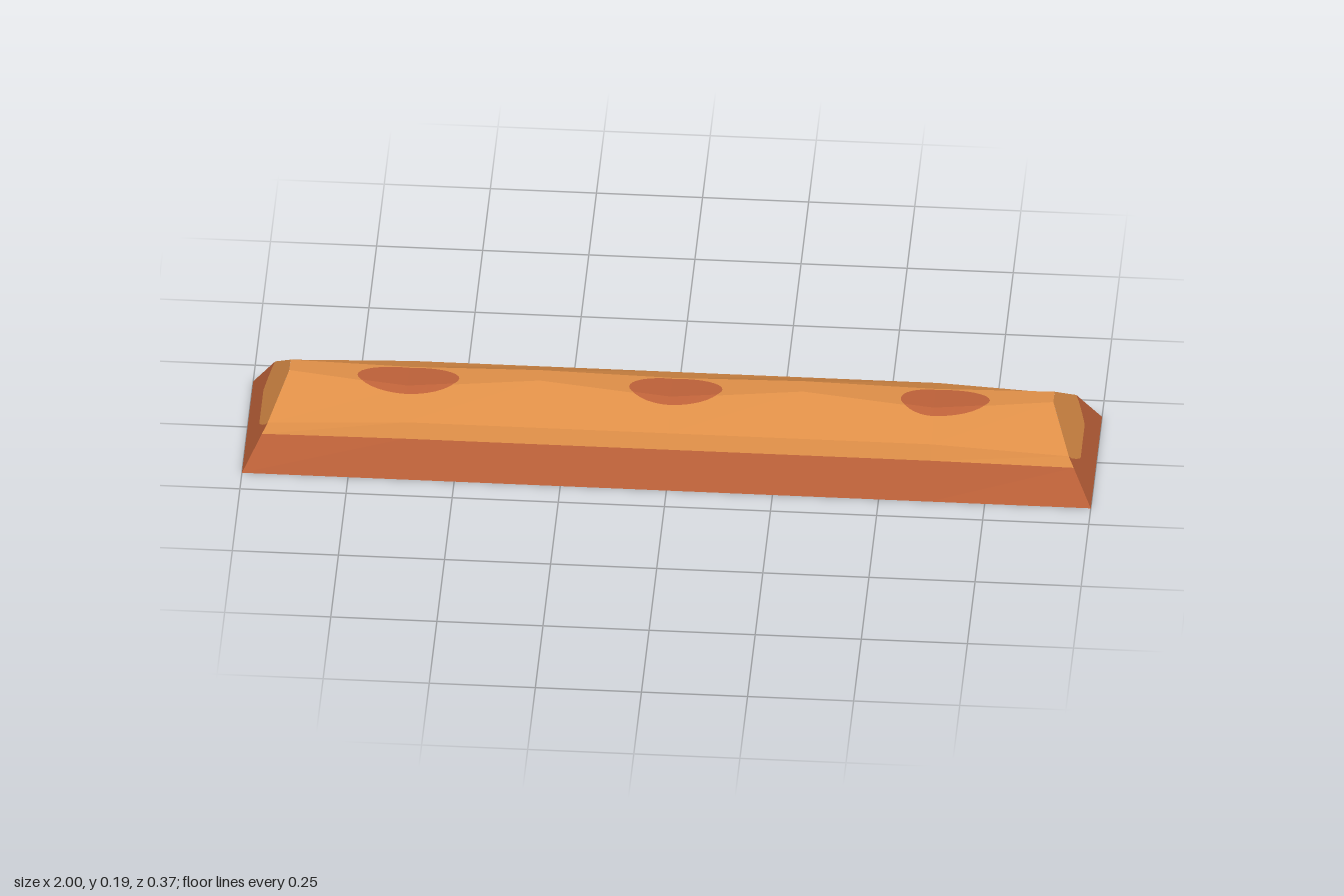
import * as THREE from 'three';

const orange = new THREE.MeshStandardMaterial({ color: 0xdd8e47 });
const rust = new THREE.MeshStandardMaterial({ color: 0xbb6038 });

// Stations along the beam: ridge peaks alternate with worn dips
const stationX = [-0.9, -0.62, -0.31, 0, 0.31, 0.62, 0.9];
const last = stationX.length - 1;
const ridgeY = (i) => (i % 2 ? 0.165 : 0.185);
const ridgeZ = (i) => (i % 2 ? 0.04 : 0.021);
const endX = (y) => 1 - 0.54 * y;

// Flat-shaded mesh from loose triangles
function facets(name, material, points) {
  const geometry = new THREE.BufferGeometry();
  geometry.setAttribute('position', new THREE.Float32BufferAttribute(points.flat(), 3));
  geometry.computeVertexNormals();
  const mesh = new THREE.Mesh(geometry, material);
  mesh.name = name;
  return mesh;
}
const quad = (a, b, c, d) => [a, b, c, a, c, d];

// Four points up the front flank at one station: base, paint line, shoulder, ridge
function flank(i) {
  const end = i === 0 || i === last;
  const sign = Math.sign(stationX[i]);
  const shoulderY = end ? 0.104 : 0.122;
  const paint = (end ? 0.081 : 0.087) / shoulderY;
  const base = [end ? sign : stationX[i], 0, 0.185];
  const shoulder = [end ? sign * endX(shoulderY) : stationX[i], shoulderY, 0.124];
  const line = base.map((v, k) => v + (shoulder[k] - v) * paint);
  return [base, line, shoulder, [stationX[i], ridgeY(i), ridgeZ(i)]];
}

// One long side and one end; a half turn gives the other pair
function createHalf(name) {
  const group = new THREE.Group();
  group.name = name;
  const lower = [], upper = [];
  for (let i = 0; i < last; i++) {
    const a = flank(i), b = flank(i + 1);
    lower.push(...quad(a[0], b[0], b[1], a[1]));
    for (const r of [1, 2]) upper.push(...quad(a[r], b[r], b[r + 1], a[r + 1]));
  }
  group.add(facets('lowerSide', rust, lower), facets('upperSide', orange, upper));

  // End: rounded orange patch above a rust foot
  const onEnd = ([z, y]) => [endX(y), y, z];
  const arc = [[0.124, 0.104], [0.115, 0.092], [0.093, 0.075], [0.068, 0.06]];
  const edge = [...arc, ...arc.map(([z, y]) => [-z, y]).reverse()];
  const foot = [], patch = [];
  const apex = onEnd([0, 0.185]);
  const outline = [[0.021, 0.185], ...edge, [-0.021, 0.185]];
  for (let i = 0; i < edge.length - 1; i++) {
    const [p, q] = [edge[i], edge[i + 1]];
    const s = 0.185 / 0.124;
    foot.push(...quad(onEnd([p[0] * s, 0]), onEnd([q[0] * s, 0]), onEnd(q), onEnd(p)));
  }
  for (let i = 0; i < outline.length - 1; i++) {
    patch.push(apex, onEnd(outline[i]), onEnd(outline[i + 1]));
  }
  group.add(facets('endFoot', rust, foot), facets('endPatch', orange, patch));
  return group;
}

// Oval stain folded over the front ridge at a dip
function createStain(station, left, right) {
  const lift = 0.003, steps = 8;
  const column = (t) => {
    const u = Math.sin((t / steps) * Math.PI / 2);
    const dx = u * (u < 0 ? left : right);
    const k = Math.abs(dx) / 0.31;
    const topY = 0.165 + 0.02 * k, topZ = 0.04 - 0.019 * k;
    const half = 0.046 * Math.sqrt(Math.max(0, 1 - u * u));
    const back = 0.014 - half, front = 0.014 + half;
    const fold = Math.min(front, Math.max(back, topZ));
    const slope = (topY - 0.122) / (0.124 - topZ);
    return [front, fold, back].map((z) =>
      [stationX[station] + dx, topY - Math.max(0, z - topZ) * slope + lift, z]);
  };
  const points = [];
  for (let t = -steps; t < steps; t++) {
    const a = column(t), b = column(t + 1);
    for (const r of [0, 1]) points.push(...quad(a[r], b[r], b[r + 1], a[r + 1]));
  }
  return facets('stain', rust, points);
}

export function createModel() {
  const model = new THREE.Group();
  model.name = 'beam';

  const front = createHalf('frontHalf');
  const back = createHalf('backHalf');
  back.rotation.y = Math.PI;
  model.add(front, back);

  // Narrow flat ridge along the top
  const ridge = [];
  for (let i = 0; i < last; i++) {
    const p = (j, s) => [stationX[j], ridgeY(j), s * ridgeZ(j)];
    ridge.push(...quad(p(i, 1), p(i + 1, 1), p(i + 1, -1), p(i, -1)));
  }
  model.add(facets('ridge', orange, ridge));

  // Underside
  model.add(facets('underside', orange,
    quad([-1, 0, -0.185], [1, 0, -0.185], [1, 0, 0.185], [-1, 0, 0.185])));

  model.add(createStain(1, 0.12, 0.12), createStain(3, 0.1, 0.12), createStain(5, 0.08, 0.13));
  return model;
}
